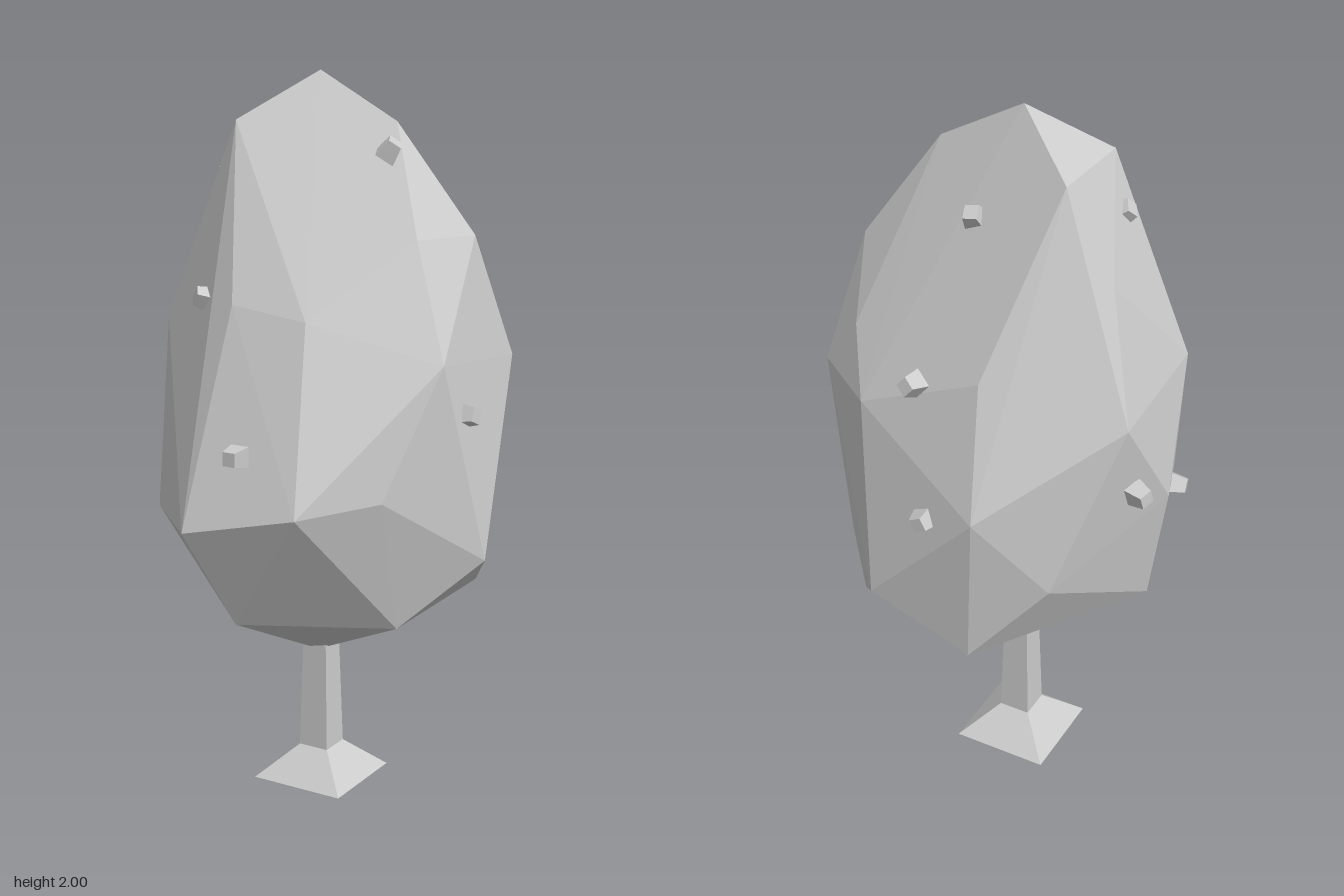
import * as THREE from 'three';
import { ConvexGeometry } from 'three/addons/geometries/ConvexGeometry.js';

const material = new THREE.MeshStandardMaterial({ color: 0xcccccc, flatShading: true });

function addMesh(parent, name, geometry) {
  const mesh = new THREE.Mesh(geometry, material);
  mesh.name = name;
  parent.add(mesh);
  return mesh;
}

// Square column with axis-aligned sides, given half widths and its y range
function squareColumn(halfTop, halfBottom, y0, y1) {
  const g = new THREE.CylinderGeometry(halfTop * Math.SQRT2, halfBottom * Math.SQRT2, y1 - y0, 4);
  return g.rotateY(Math.PI / 4).translate(0, (y0 + y1) / 2, 0);
}

export function createModel() {
  const tree = new THREE.Group();
  tree.name = 'tree';

  // Trunk with a flared square foot, a little off the crown's centre
  const stem = new THREE.Group();
  stem.name = 'stem';
  stem.position.set(-0.055, 0, -0.04);
  tree.add(stem);
  addMesh(stem, 'foot', squareColumn(0.045, 0.14, 0, 0.09));
  addMesh(stem, 'trunk', squareColumn(0.036, 0.046, 0.07, 0.45));

  // Faceted crown, corner points from top to bottom
  const crownPoints = [
    // tip and shoulders
    [-0.07, 2.0, -0.065], [0.17, 1.87, -0.055], [-0.25, 1.87, -0.19], [-0.25, 1.87, 0.075],
    // upper slopes
    [0.31, 1.58, 0.09], [0.375, 1.58, -0.11], [-0.365, 1.62, -0.155], [-0.28, 1.62, 0.1],
    [-0.12, 1.41, 0.295], [0.1, 1.38, 0.29], [-0.12, 1.4, -0.39], [0.31, 1.4, -0.27],
    // middle
    [0.43, 1.28, 0.165], [0.43, 1.25, -0.24], [0.23, 1.25, -0.385], [-0.46, 1.33, 0.11],
    [-0.455, 1.28, -0.235], [-0.5, 1.0, -0.06], [-0.15, 1.05, -0.49],
    // widest part
    [-0.15, 0.84, 0.495], [0.17, 0.91, 0.46], [-0.365, 0.84, 0.3], [0.33, 0.94, 0.3],
    [0.495, 0.75, 0.04], [0.17, 0.72, -0.475], [-0.3, 0.8, -0.35], [0.31, 0.8, -0.34],
    // underside
    [-0.07, 0.57, 0.37], [0.31, 0.57, 0.18], [0.3, 0.57, -0.31], [-0.1, 0.57, -0.43],
    [-0.44, 0.64, -0.03], [-0.07, 0.37, -0.05],
  ].map((p) => new THREE.Vector3(...p));
  addMesh(tree, 'crown', new ConvexGeometry(crownPoints));

  // Small blocky leaves scattered over the crown, pointing outwards
  const leafGeometry = new THREE.CylinderGeometry(0.026, 0.038, 0.05, 4);
  const leaves = [
    [-0.3, 1.73, 0.03], [0.18, 1.8, 0.0], [-0.25, 1.41, 0.235], [-0.01, 1.05, 0.455],
    [-0.455, 0.92, 0.11], [0.455, 1.14, 0.07], [0.06, 1.36, -0.41], [0.0, 1.01, -0.475],
    [0.0, 1.74, -0.19], [-0.475, 1.07, -0.19],
  ];
  const up = new THREE.Vector3(0, 1, 0);
  leaves.forEach(([x, y, z], i) => {
    const leaf = addMesh(tree, 'leaf' + (i + 1), leafGeometry);
    const outward = new THREE.Vector3(x, (y - 1.05) * 0.3, z).normalize();
    leaf.position.set(x, y, z);
    leaf.quaternion.setFromUnitVectors(up, outward);
    leaf.rotateY(i * 1.3);
  });

  return tree;
}
